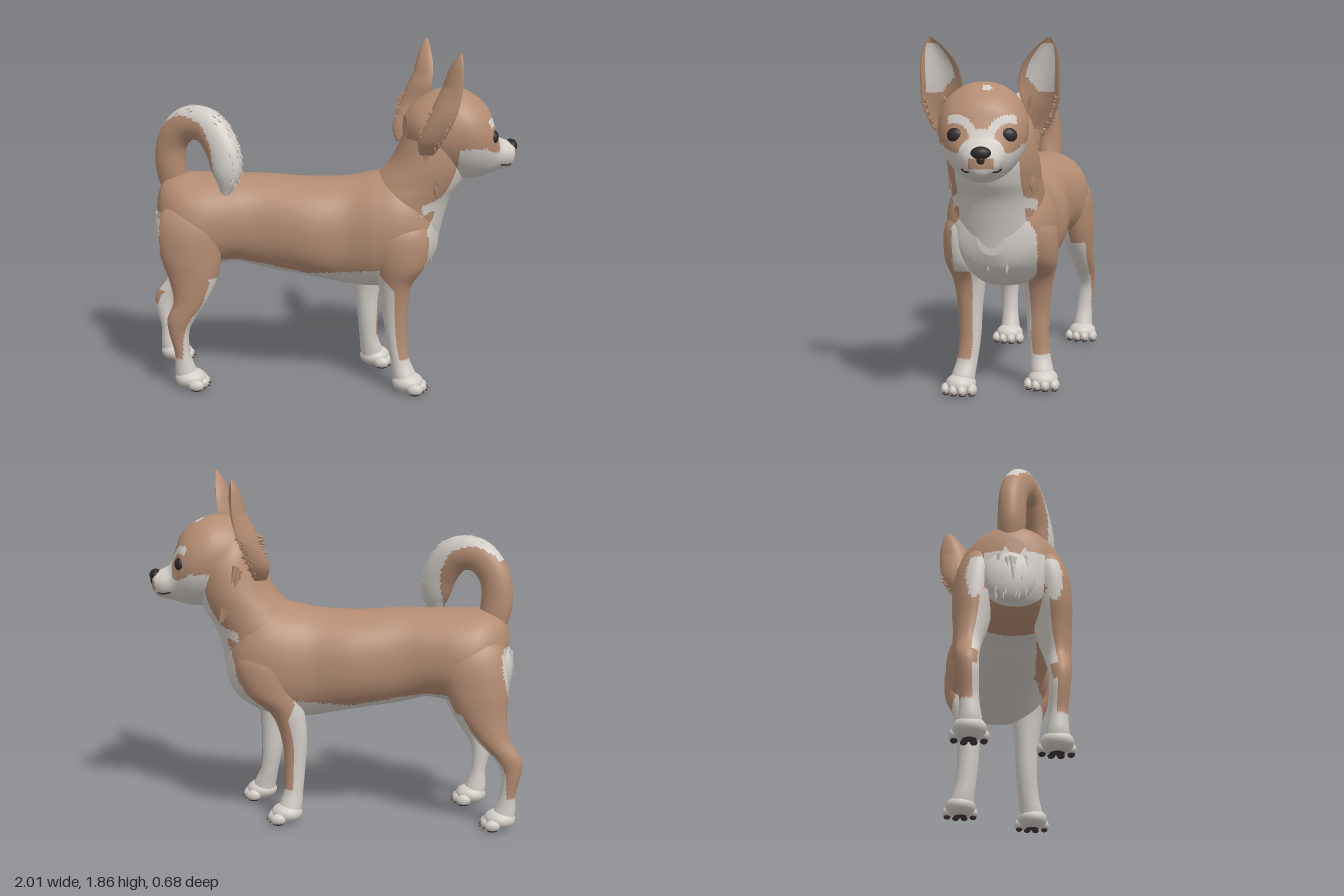
import * as THREE from 'three';
import { mergeGeometries } from 'three/addons/utils/BufferGeometryUtils.js';

const V = (x, y, z) => new THREE.Vector3(x, y, z);
const mat = (name, color) => Object.assign(new THREE.MeshStandardMaterial({ color }), { name });

export function createModel() {
  const tan = mat('tanFur', 0xb48c72), white = mat('whiteFur', 0xd2ccc6);
  const black = mat('noseBlack', 0x2c2625), eyeDark = mat('eyeBrown', 0x30292a);
  const claw = mat('clawBrown', 0x6e5042), pad = mat('padGrey', 0x40363a);
  const coat = [tan, white];
  const dog = new THREE.Group();
  dog.name = 'dog';
  let seed = 7;
  const rnd = () => (seed = (seed * 16807) % 2147483647) / 2147483647;

  // Smoothly resample a short table of cross-sections
  const resample = (rows, n) => {
    const splines = rows[0].map((_, k) =>
      new THREE.SplineCurve(rows.map((r, i) => new THREE.Vector2(i, r[k]))));
    return Array.from({ length: n + 1 }, (_, i) => splines.map(s => s.getPoint(i / n).y));
  };
  const ringOf = (n, f) => Array.from({ length: n }, (_, j) => f(j / n * Math.PI * 2));
  const pw = (v, e) => Math.sign(v) * Math.abs(v) ** e;

  // Closed skin over rings; pick(point, t, u) gives false for tan, true for white
  function skin(name, rings, pick, parent = dog) {
    const m = rings[0].length, n = rings.length, pts = rings.flat();
    const mid = r => r.reduce((a, p) => a.add(p), V(0, 0, 0)).divideScalar(m);
    pts.push(mid(rings[0]), mid(rings[n - 1]));
    const tris = [];
    for (let j = 0; j < m; j++) {
      const k = (j + 1) % m;
      for (let i = 0; i < n - 1; i++) {
        const a = i * m + j, b = i * m + k, c = a + m, d = b + m;
        tris.push([a, c, b, i, j], [b, c, d, i, j]);
      }
      tris.push([n * m, j, k, 0, j], [n * m + 1, (n - 1) * m + k, (n - 1) * m + j, n - 1, j]);
    }
    let volume = 0;
    const lists = [[], []], x = V(0, 0, 0);
    for (const [a, b, c, i, j] of tris) {
      volume += x.crossVectors(pts[b], pts[c]).dot(pts[a]);
      const p = V(0, 0, 0).add(pts[a]).add(pts[b]).add(pts[c]).divideScalar(3);
      lists[pick(p, i / (n - 1), (j + 0.5) / m) ? 1 : 0].push([a, b, c]);
    }
    const g = new THREE.BufferGeometry().setFromPoints(pts);
    g.setIndex(lists.flat().flatMap(([a, b, c]) => (volume > 0 ? [a, b, c] : [a, c, b])));
    g.addGroup(0, lists[0].length * 3, 0);
    g.addGroup(lists[0].length * 3, lists[1].length * 3, 1);
    g.computeVertexNormals();
    const mesh = new THREE.Mesh(g, coat);
    mesh.name = name;
    parent.add(mesh);
  }
  function ball(name, material, p, s, parent = dog) {
    const mesh = new THREE.Mesh(new THREE.SphereGeometry(1, 20, 14), material);
    mesh.name = name;
    mesh.position.set(...p);
    mesh.scale.set(...s);
    parent.add(mesh);
  }
  // Fur tufts: small cones merged into one mesh
  const cone = (p, dir, len, rad) => new THREE.ConeGeometry(rad, len, 5)
    .applyQuaternion(new THREE.Quaternion().setFromUnitVectors(V(0, 1, 0), dir.clone().normalize()))
    .translate(p.x, p.y, p.z);
  function tufts(name, material, cones, parent = dog) {
    const mesh = new THREE.Mesh(mergeGeometries(cones), material);
    mesh.name = name;
    parent.add(mesh);
  }

  // Torso and neck share one coat pattern: white belly, bib with side tongues, breeches
  const bibRule = p => (p.x > 0.475 + 0.36 * (p.y - 0.75) && Math.abs(p.z) < (p.y > 1.08 ? 0.165 : 0.22))
    || (p.x > 0.5 && Math.abs(p.z) < 0.25 && Math.abs(p.y - 1.12 + 0.45 * Math.abs(p.z)) < 0.03);
  const coatRule = p => {
    const belly = p.x < -0.1 ? 0.655 + Math.min(0.065, (-0.1 - p.x) * 0.17) : 0.655 + (p.x + 0.1) * 0.1;
    return (p.x > -0.62 && p.y < belly) || (p.x < -0.87 && p.y < 0.97 && Math.abs(p.z) < 0.15) || bibRule(p);
  };
  const torso = [[-.93, 1.04, .8, .06], [-.89, 1.12, .72, .16], [-.8, 1.155, .66, .245], [-.68, 1.155, .65, .275],
    [-.5, 1.155, .68, .245], [-.35, 1.155, .645, .232], [-.1, 1.14, .605, .267], [.1, 1.15, .565, .255],
    [.25, 1.18, .555, .285], [.38, 1.2, .58, .285], [.48, 1.15, .63, .25], [.55, 1.05, .69, .18], [.59, .95, .77, .07]];
  skin('torso', resample(torso, 120).map(([x, t, b, w]) => ringOf(80, a =>
    V(x, (t + b) / 2 + (t - b) / 2 * pw(Math.cos(a), 0.9), w * pw(Math.sin(a), 0.9)))), coatRule);
  const neck = [[.75, .2, .58, .18], [.9, .15, .61, .235], [1.05, .17, .655, .24], [1.15, .24, .715, .235],
    [1.25, .33, .74, .235], [1.38, .39, .74, .22], [1.46, .41, .7, .19], [1.53, .44, .66, .14]];
  skin('neck', resample(neck, 70).map(([y, a, b, w]) => ringOf(80, q =>
    V((a + b) / 2 + (b - a) / 2 * Math.cos(q), y, w * Math.sin(q)))), coatRule);

  // Legs: rows of y, x, z, half depth, half width, x shift of the -z leg
  const front = [[1.04, .36, .14, .04, .02, 0], [.98, .37, .16, .12, .075, 0], [.88, .38, .185, .165, .105, -.02],
    [.72, .39, .185, .14, .105, -.06], [.6, .365, .17, .09, .085, -.12], [.45, .365, .165, .068, .065, -.155],
    [.3, .375, .165, .057, .058, -.165], [.18, .395, .175, .052, .056, -.18], [.1, .42, .19, .062, .062, -.19],
    [.04, .43, .2, .06, .07, -.19]];
  const rear = [[1.07, -.72, .13, .04, .02, 0], [1, -.73, .16, .14, .08, 0], [.9, -.73, .18, .18, .105, 0],
    [.75, -.73, .195, .165, .1, -.03], [.62, -.72, .205, .13, .085, -.07], [.5, -.735, .22, .09, .065, -.11],
    [.4, -.785, .225, .075, .055, -.14], [.32, -.8, .22, .055, .05, -.15], [.2, -.785, .215, .042, .046, -.15],
    [.1, -.77, .21, .058, .055, -.15], [.04, -.755, .21, .06, .065, -.15]];
  const frontRule = (p, c, s) => p.y < 0.19 || (p.y < 0.73 && p.x < c - Math.max(0, p.y - 0.58) * 1.1)
    || (p.y < 0.75 && s < -0.45) || (p.y > 0.66 && bibRule(p));
  const rearRule = (p, c, s) => {
    if (p.y > 0.34 && p.y < 0.42 && p.x < c - 0.04) return false;
    return p.y < 0.18 || (p.y < 0.78 && s < -0.25) || (p.y < 0.64 && p.x > c + 0.02 + 0.2 * (p.y - 0.25))
      || (p.y < 0.95 && p.x < c - 0.16);
  };
  function paw(name, x, z) {
    const g = new THREE.Group();
    g.name = name;
    g.position.set(x, 0, z);
    ball('foot', white, [-.005, .056, 0], [.085, .054, .08], g);
    ball('heelPad', pad, [0, .014, 0], [.045, .013, .04], g);
    for (let i = 0; i < 4; i++) {
      const tz = (i - 1.5) * 0.046, tx = i % 3 ? 0.055 : 0.035;
      ball('toe', white, [tx, .035, tz], [.042, .031, .026], g);
      ball('toePad', pad, [tx, .012, tz], [.03, .011, .018], g);
      tufts('claw', claw, [cone(V(tx + .04, .022, tz), V(1, -.5, 0), .03, .012)], g);
    }
    dog.add(g);
  }
  for (const s of [1, -1]) {
    for (const [name, rows, rule, px] of [['frontLeg', front, frontRule, .445], ['rearLeg', rear, rearRule, -.74]]) {
      const rs = resample(rows, 80), last = rows[rows.length - 1];
      const cx = r => r[1] + (s < 0 ? r[5] : 0);
      skin(name, rs.map(r => ringOf(44, a => V(cx(r) + r[3] * Math.cos(a), r[0], s * (r[2] + r[4] * Math.sin(a))))),
        (p, t) => {
          const r = rs[Math.round(t * 80)];
          return rule(p, cx(r), (s * p.z - r[2]) / r[4]);
        });
      paw(name + 'Paw', px + (s < 0 ? last[5] : 0), s * last[2]);
    }
  }

  // Curled tail, white along its outer side and tip
  const tail = new THREE.CatmullRomCurve3([V(-.79, .97, -.01), V(-.855, 1.16, -.01), V(-.845, 1.33, 0), V(-.76, 1.435, .04),
    V(-.645, 1.435, .09), V(-.56, 1.33, .14), V(-.53, 1.2, .17), V(-.545, 1.05, .18)]);
  const tailN = V(-.38, 0, .92).normalize();
  const radii = resample([[.07], [.085], [.085], [.09], [.095], [.095], [.08], [.012]], 60);
  const tailFrame = t => {
    const T = tail.getTangent(t);
    return [tail.getPoint(t), T, V(0, 0, 0).crossVectors(tailN, T).normalize()];
  };
  const tailPoint = (t, a, r) => {
    const [P, , out] = tailFrame(t);
    return P.addScaledVector(out, r * Math.cos(a)).addScaledVector(tailN, r * 0.8 * Math.sin(a));
  };
  skin('tail', radii.map(([r], i) => ringOf(48, a => tailPoint(i / 60, a, r))),
    (p, t, u) => t > 0.33 && Math.cos(u * Math.PI * 2) > 0.9 - 3.2 * (t - 0.33));
  tufts('tailFur', white, Array.from({ length: 60 }, () => {
    const t = 0.42 + 0.52 * rnd(), a = (rnd() - 0.5) * 1.8, [P, T] = tailFrame(t);
    const p = tailPoint(t, a, radii[Math.round(t * 60)][0] - 0.004);
    return cone(p, p.clone().sub(P).normalize().multiplyScalar(.45).add(T), .055, .013);
  }));

  // Head, turned a little towards -z
  const turn = new THREE.Group(), head = new THREE.Group();
  turn.name = 'headTurn';
  head.name = 'head';
  turn.position.set(.6, 0, .03);
  turn.rotation.y = 0.2;
  head.position.x = -.6;
  turn.add(head);
  dog.add(turn);
  const skull = [[.4, 1.5, 1.36, .06], [.45, 1.56, 1.28, .14], [.55, 1.625, 1.2, .195], [.65, 1.645, 1.165, .218],
    [.72, 1.63, 1.155, .22], [.79, 1.59, 1.16, .2], [.84, 1.535, 1.17, .165], [.87, 1.455, 1.18, .13],
    [.9, 1.38, 1.19, .105], [.95, 1.352, 1.2, .088], [.985, 1.34, 1.22, .062], [.998, 1.32, 1.26, .03]];
  skin('skull', resample(skull, 120).map(([x, t, b, w]) => ringOf(80, a =>
    V(x, (t + b) / 2 + (t - b) / 2 * Math.cos(a), w * Math.sin(a) * (1 + 0.1 * Math.cos(a))))), p => {
    const d = Math.hypot(Math.abs(p.z) - 0.13, p.y - 1.385);
    if (p.x > 0.95 && p.y < 1.3 && p.y > 1.25 && Math.abs(p.z) < 0.06) return false;
    if (p.x > 0.78 && p.x < 0.89 && d < 0.07) return false;
    if (p.y > 1.5 && Math.hypot(p.x - 0.74, p.z + 0.02) < 0.025) return true;
    return p.x > 0.878 || (p.y < 1.35 && p.x > 0.65) || (p.x > 0.8 && p.y > 1.4 && d < 0.11 && Math.abs(p.z) < 0.165);
  }, head);
  ball('nose', black, [.978, 1.322, 0], [.033, .034, .05], head);
  ball('noseTip', black, [.982, 1.292, 0], [.024, .027, .026], head);
  const mouth = new THREE.CatmullRomCurve3([V(.9, 1.24, .095), V(.95, 1.232, .074), V(.99, 1.245, 0),
    V(.95, 1.232, -.074), V(.9, 1.24, -.095)]);
  const lip = new THREE.Mesh(new THREE.TubeGeometry(mouth, 24, .004, 6), black);
  lip.name = 'mouthLine';
  head.add(lip);

  // Eyes, cupped ears with thick furry bases, and the ruff
  const earRows = [[1.32, .5, .18, .035], [1.4, .52, .215, .07], [1.52, .565, .245, .09], [1.63, .59, .24, .103],
    [1.73, .605, .252, .09], [1.81, .615, .276, .052], [1.86, .625, .294, .008]];
  for (const s of [1, -1]) {
    ball('eye', eyeDark, [.842, 1.397, s * .12], [.034, .04, .049], head);
    const ears = new THREE.Group();
    ears.name = 'earGroup';
    ears.position.set(s > 0 ? .01 : -.045, 0, -.03);
    head.add(ears);
    const ear = resample(earRows, 44);
    skin('ear', ear.map(([y, x, z, w], i) => Array.from({ length: 48 }, (_, j) => {
      const v = j < 24 ? -1 + j / 12 : 1 - (j - 24) / 12;
      const thick = j < 24 ? 0 : (0.3 + 1.1 * Math.max(0, 1 - i / 26)) * w * Math.sqrt(1 - v * v) + 0.004;
      return V(x + 0.5 * w * (v * v - 0.4) - thick, y, s * (z + w * v));
    })), (p, t, u) => {
      const v = u * 4 - 1;
      return v < 0.72 && v > -0.68 && t > 0.42 + 0.2 * Math.max(0, -v) && t < 0.88;
    }, ears);
    const fringe = [], ruff = [];
    for (let i = 0; i < 14; i++) {
      const [y, x, z, w] = ear[4 + i];
      fringe.push(cone(V(x + .2 * w - .02 * rnd(), y, s * (z + w * .93)), V(-.3, -.5 + rnd(), s), .04, .014));
      fringe.push(cone(V(x + .1 * w, y, s * (z - w * .6 * rnd())), V(.4, .8, s * .5), .06, .014));
      fringe.push(cone(V(x - w * 1.05, y, s * (z - .03 + .05 * rnd())), V(-1, .5 - rnd(), s * .3), .05, .018));
    }
    for (let i = 0; i < 26; i++) {
      const t = i / 25;
      ruff.push(cone(V(.49 + .08 * t + .03 * rnd(), 1.36 - .24 * t, s * (.22 - .01 * t)), V(.3, -1, s * .35), .08, .022));
    }
    tufts('earFringe', tan, fringe, ears);
    tufts('cheekRuff', tan, ruff);
  }

  // Loose fur on the chest and the back of the thighs
  tufts('chestFur', white, Array.from({ length: 30 }, () => {
    const y = 0.7 + 0.22 * rnd();
    return cone(V(.55 + .1 * (y - .7), y, (rnd() - .5) * .2), V(.4, -1, 0), .07, .018);
  }));
  ball('breeches', white, [-.895, .85, -.02], [.058, .14, .13]);
  tufts('breechesFur', white, Array.from({ length: 20 }, () => {
    const q = rnd() * 2 - 1, z = (rnd() - .5) * .16;
    return cone(V(-.893 - .058 * Math.sqrt(1 - .8 * q * q) + .24 * Math.abs(z), .84 + .11 * q, z - .02), V(-.2, -1, 0), .08, .018);
  }));
  return dog;
}
